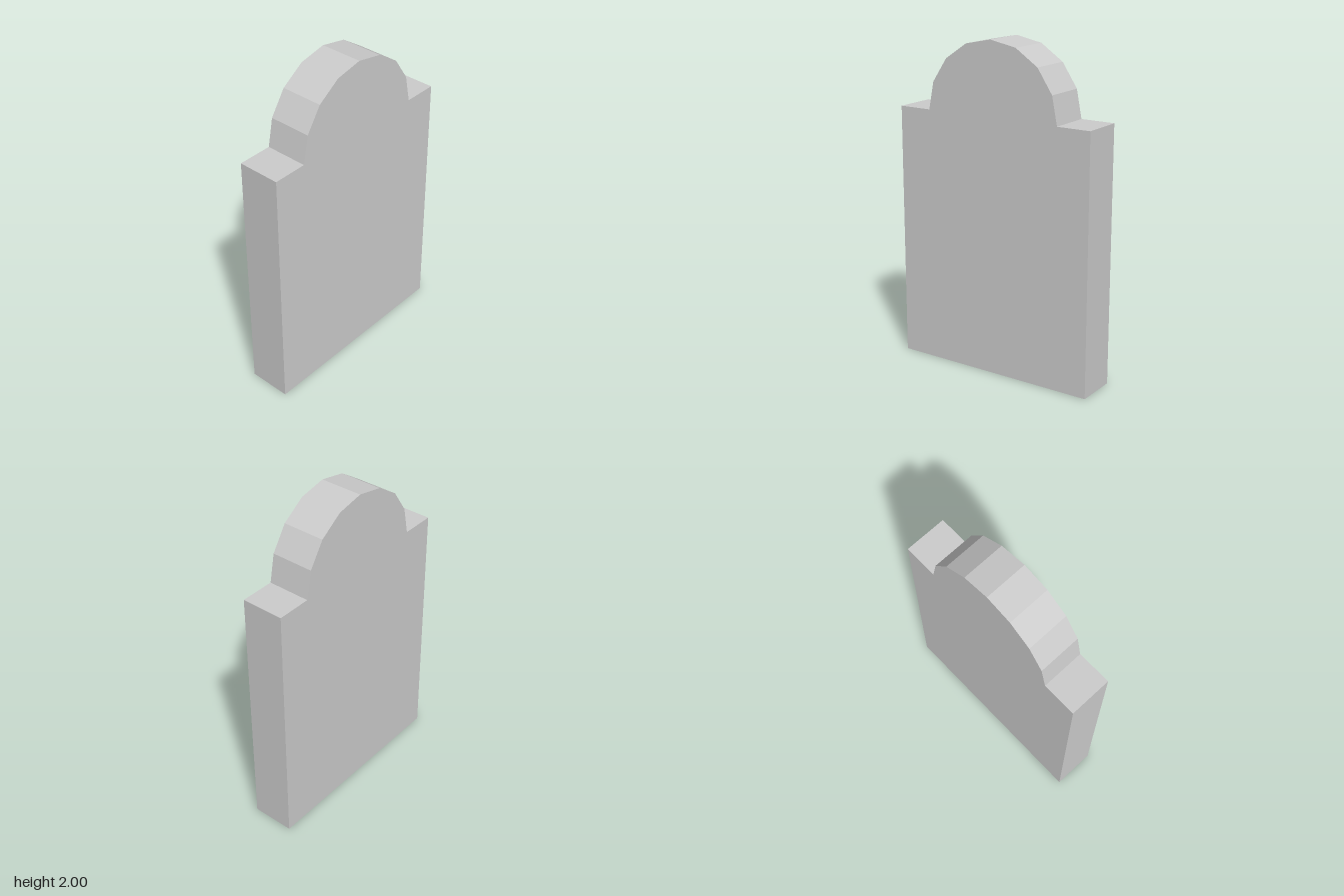
import * as THREE from 'three';

const HALF_WIDTH = 0.65;
const DEPTH = 0.26;
const SHOULDER_Y = 1.56;
const ARCH_RADIUS = 0.44;
const ARCH_SIDES = 8;

export function createModel() {
  const group = new THREE.Group();
  group.name = 'headstone';

  // Outline: rectangular slab with square shoulders and a faceted round top
  const outline = [
    new THREE.Vector2(-HALF_WIDTH, 0),
    new THREE.Vector2(HALF_WIDTH, 0),
    new THREE.Vector2(HALF_WIDTH, SHOULDER_Y),
  ];
  for (let i = 0; i <= ARCH_SIDES; i++) {
    const a = (i / ARCH_SIDES) * Math.PI;
    outline.push(new THREE.Vector2(ARCH_RADIUS * Math.cos(a), SHOULDER_Y + ARCH_RADIUS * Math.sin(a)));
  }
  outline.push(new THREE.Vector2(-HALF_WIDTH, SHOULDER_Y));

  // Slab, extruded and centred on z
  const geometry = new THREE.ExtrudeGeometry(new THREE.Shape(outline), {
    depth: DEPTH,
    bevelEnabled: false,
  });
  geometry.translate(0, 0, -DEPTH / 2);

  const slab = new THREE.Mesh(
    geometry,
    new THREE.MeshStandardMaterial({ color: 0xcccccc, flatShading: true })
  );
  slab.name = 'slab';
  group.add(slab);
  return group;
}
